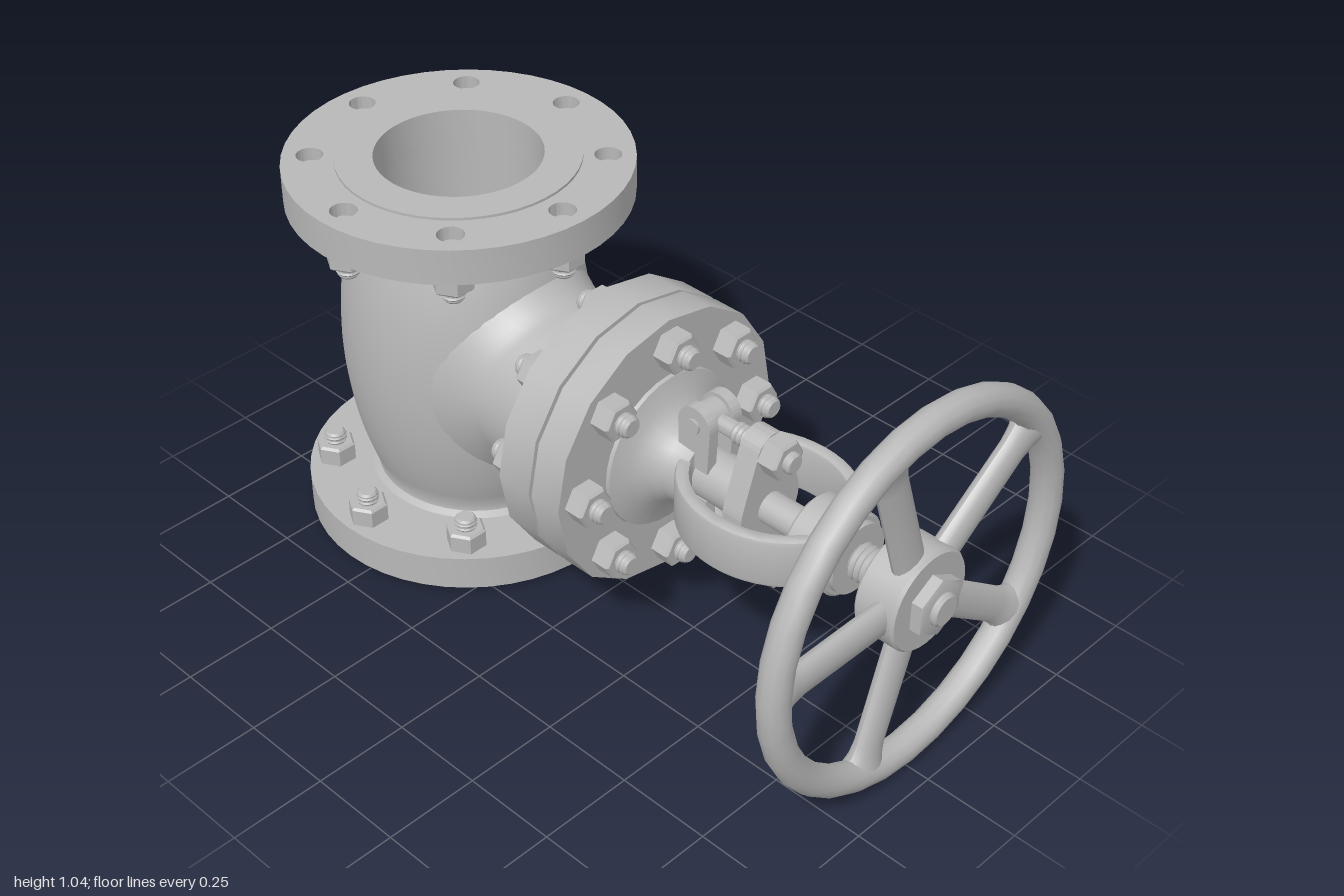
import * as THREE from 'three';
import { toCreasedNormals } from 'three/addons/utils/BufferGeometryUtils.js';
import { ParametricGeometry } from 'three/addons/geometries/ParametricGeometry.js';

const CY = 0.52, BX = -0.565, BORE = 0.21, SZ = 0.93;
const steel = new THREE.MeshStandardMaterial({ color: 0xb8b8b8, side: THREE.DoubleSide });
steel.name = 'castSteel';

function add(parent, name, geo, x = 0, y = 0, z = 0) {
  const m = new THREE.Mesh(toCreasedNormals(geo, 0.6), steel);
  m.name = name;
  m.position.set(x, y, z);
  parent.add(m);
  return m;
}

function lathe(pts, seg) {
  return new THREE.LatheGeometry(pts.map(([r, h]) => new THREE.Vector2(r, h)), seg);
}

// Turned part along x; points are [radius, x]
const turned = (parent, name, pts, seg = 32) => add(parent, name, lathe(pts, seg).rotateZ(-Math.PI / 2), 0, CY);
const disc = (parent, name, x0, x1, r, seg = 32) => turned(parent, name, [[0, x0], [r, x0], [r, x1], [0, x1]], seg);

// Zigzag thread profile between two heights
function thread(r, h0, h1, n) {
  const pts = [[0, h0]];
  for (let i = 0; i <= n * 2; i++) pts.push([i % 2 ? r : r * 0.85, h0 + (h1 - h0) * i / (n * 2)]);
  pts.push([0, h1]);
  return pts;
}

function nutProfile(r, h) {
  return [[0, 0], [r, 0], [r, h * 0.88], [r * 0.87, h], [0, h]];
}

// Hex nut with a stud, pointing along dir
function bolt(parent, name, pos, dir, back, nutH = 0.052, end = 0.085) {
  const g = new THREE.Group();
  g.name = name;
  add(g, 'nut', lathe(nutProfile(0.053, nutH), 6));
  add(g, 'stud', lathe([[0, -back], [0.027, -back], [0.027, end - 0.006], [0.022, end], [0, end]], 14));
  if (end - nutH > 0.02) add(g, 'studThread', lathe(thread(0.03, nutH, end - 0.008, 2), 14));
  g.position.set(...pos);
  g.quaternion.setFromUnitVectors(new THREE.Vector3(0, 1, 0), new THREE.Vector3(...dir));
  parent.add(g);
}

function circlePath(x, y, r) {
  return new THREE.Path().absarc(x, y, r, 0, Math.PI * 2, true);
}

function extrude(shape, depth, opts = {}) {
  return new THREE.ExtrudeGeometry(shape, { depth, bevelEnabled: false, curveSegments: 24, ...opts });
}

// Ring lying flat, its lower face at y = 0
function flatRing(r, holes) {
  const s = new THREE.Shape().absarc(0, 0, r, 0, Math.PI * 2);
  s.holes.push(circlePath(0, 0, BORE), ...holes);
  return s;
}

const bodyRadius = (y) => 0.335 * Math.sqrt(1 - ((y - CY) / 0.62) ** 2);

function buildBody(root) {
  const g = new THREE.Group();
  g.name = 'valveBody';
  root.add(g);

  // Barrel and straight bore
  const pts = [[0.29, 0.1], [0.262, 0.115]];
  for (let i = 0; i <= 20; i++) {
    const y = 0.13 + 0.78 * i / 20;
    pts.push([bodyRadius(y), y]);
  }
  pts.push([0.262, 0.925], [0.29, 0.94]);
  add(g, 'barrel', lathe(pts, 48), BX).scale.z = SZ;
  add(g, 'bore', new THREE.CylinderGeometry(BORE, BORE, 1.03, 48, 1, true), BX, CY);

  // Side neck blending into the barrel
  const neck = new ParametricGeometry((u, v, p) => {
    const t = Math.min(v / 0.75, 1);
    const r = 0.235 + 0.045 * (1 - t) ** 2;
    const a = u * Math.PI * 2, y = CY + r * Math.cos(a), z = r * Math.sin(a);
    const wall = BX + Math.sqrt(Math.max(0, bodyRadius(y) ** 2 - (z / SZ) ** 2));
    p.set(v > 0.76 ? -0.05 : wall - 0.008 + 0.08 * t, y, z);
  }, 48, 8);
  add(g, 'sideNeck', neck);

  // Pipe flanges with drilled holes, raised faces and bolts
  const holes = [];
  for (let i = 0; i < 8; i++) {
    const a = i * Math.PI / 4;
    holes.push(circlePath(0.365 * Math.cos(a), 0.365 * Math.sin(a), 0.034));
  }
  for (const top of [false, true]) {
    const y0 = top ? 0.935 : 0.01, dir = top ? -1 : 1;
    add(g, 'pipeFlange', extrude(flatRing(0.435, holes), 0.095).rotateX(-Math.PI / 2), BX, y0);
    add(g, 'raisedFace', extrude(flatRing(0.305, []), 0.01).rotateX(-Math.PI / 2), BX, top ? 1.027 : 0);
    for (let i = 0; i < 8; i++) {
      const a = i * Math.PI / 4;
      const pos = [BX + 0.365 * Math.cos(a), top ? 0.935 : 0.105, 0.365 * Math.sin(a)];
      bolt(g, 'pipeFlangeBolt', pos, [0, dir, 0], 0.065);
    }
  }
}

function buildBonnet(root) {
  const g = new THREE.Group();
  g.name = 'bonnet';
  root.add(g);
  disc(g, 'bodyFlange', -0.05, 0.05, 0.364, 16);
  disc(g, 'gasket', 0.045, 0.065, 0.34, 32);
  disc(g, 'bonnetFlange', 0.06, 0.15, 0.364, 16);
  turned(g, 'bonnetNeck', [[0.21, 0.145], [0.207, 0.16], [0.16, 0.175], [0.125, 0.2],
    [0.105, 0.235], [0.1, 0.29], [0, 0.29]]);
  for (let i = 0; i < 8; i++) {
    const a = i * Math.PI / 4, y = CY + 0.29 * Math.cos(a), z = 0.29 * Math.sin(a);
    bolt(g, 'bonnetBolt', [0.15, y, z], [1, 0, 0], 0.02);
    bolt(g, 'bonnetBolt', [-0.05, y, z], [-1, 0, 0], 0.02);
  }

  // Oval yoke and its end boss
  const oval = new THREE.Shape().absellipse(0.475, 0, 0.225, 0.19, 0, Math.PI * 2);
  oval.holes.push(new THREE.Path().absellipse(0.475, 0, 0.21, 0.173, 0, Math.PI * 2, true));
  const yoke = extrude(oval, 0.11, { bevelEnabled: true, bevelSize: 0.01, bevelThickness: 0.012, bevelSegments: 2 });
  add(g, 'yoke', yoke.translate(0, 0, -0.055).rotateX(Math.PI / 2), 0, CY);
  turned(g, 'yokeBoss', [[0, 0.61], [0.1, 0.61], [0.106, 0.617], [0.106, 0.725], [0.1, 0.73], [0, 0.73]]);
  disc(g, 'bossCollar', 0.73, 0.748, 0.09);
}

function buildGland(root) {
  const g = new THREE.Group();
  g.name = 'gland';
  root.add(g);
  disc(g, 'glandFollower', 0.28, 0.43, 0.065);

  // Oblong gland plate
  const f = Math.asin(0.05 / 0.16), P = Math.PI;
  const s = new THREE.Shape();
  s.absarc(0, 0.16, 0.05, f, P - f);
  s.absarc(0, 0, 0.1, P - f, P + f);
  s.absarc(0, -0.16, 0.05, P + f, 2 * P - f);
  s.absarc(0, 0, 0.1, 2 * P - f, 2 * P + f);
  add(g, 'glandPlate', extrude(s, 0.058).rotateY(P / 2), 0.422, CY);

  // Clevis lugs with swinging eye bolts
  const lug = new THREE.Shape();
  lug.moveTo(-0.045, -0.12);
  lug.lineTo(0.045, -0.12);
  lug.absarc(0, 0, 0.05, 0, P);
  for (const side of [1, -1]) {
    const y = CY + side * 0.16;
    for (const z of [-0.055, 0.025]) {
      const m = add(g, 'lug', extrude(lug, 0.03), 0.285, y, side > 0 ? z : -z);
      if (side < 0) m.rotation.x = P;
    }
    add(g, 'lugPin', new THREE.CylinderGeometry(0.02, 0.02, 0.124, 14).rotateX(P / 2), 0.285, y);
    add(g, 'boltEye', new THREE.CylinderGeometry(0.042, 0.042, 0.045, 20).rotateX(P / 2), 0.285, y);
    add(g, 'eyeBoltShank', lathe([[0.022, 0.3], [0.022, 0.44]], 14).rotateZ(-P / 2), 0, y);
    add(g, 'eyeBoltThread', lathe(thread(0.028, 0.37, 0.425, 4), 14).rotateZ(-P / 2), 0, y);
    bolt(g, 'glandBolt', [0.48, y, 0], [1, 0, 0], 0.02, 0.052, 0.07);
  }
}

function buildHandwheel(root) {
  const g = new THREE.Group();
  g.name = 'handwheel';
  root.add(g);
  disc(g, 'stem', 0.42, 0.86, 0.041, 20);
  turned(g, 'stemThread', thread(0.048, 0.748, 0.845, 6), 20);
  turned(g, 'hub', [[0, 0.842], [0.126, 0.842], [0.13, 0.847], [0.13, 0.945], [0.124, 0.953], [0, 0.953]]);
  const nut = add(g, 'wheelNut', lathe(nutProfile(0.078, 0.033), 6).rotateZ(-Math.PI / 2), 0.953, CY);
  nut.rotation.x = Math.PI / 6;
  turned(g, 'stemTip', [[0, 0.97], [0.042, 0.97], [0.042, 0.993], [0.036, 1], [0, 1]], 20);
  add(g, 'rim', new THREE.TorusGeometry(0.475, 0.039, 12, 32).rotateY(Math.PI / 2), 0.915, CY);

  // Five spokes, widening where they meet the rim
  const spoke = lathe([[0.047, 0.1], [0.046, 0.39], [0.052, 0.425], [0.068, 0.46]], 16).scale(0.58, 1, 1);
  for (let i = 0; i < 5; i++) {
    add(g, 'spoke', spoke, 0.91, CY).rotation.x = Math.PI / 2 + i * Math.PI * 0.4;
  }
}

export function createModel() {
  const root = new THREE.Group();
  root.name = 'flangedValve';
  buildBody(root);
  buildBonnet(root);
  buildGland(root);
  buildHandwheel(root);
  return root;
}
